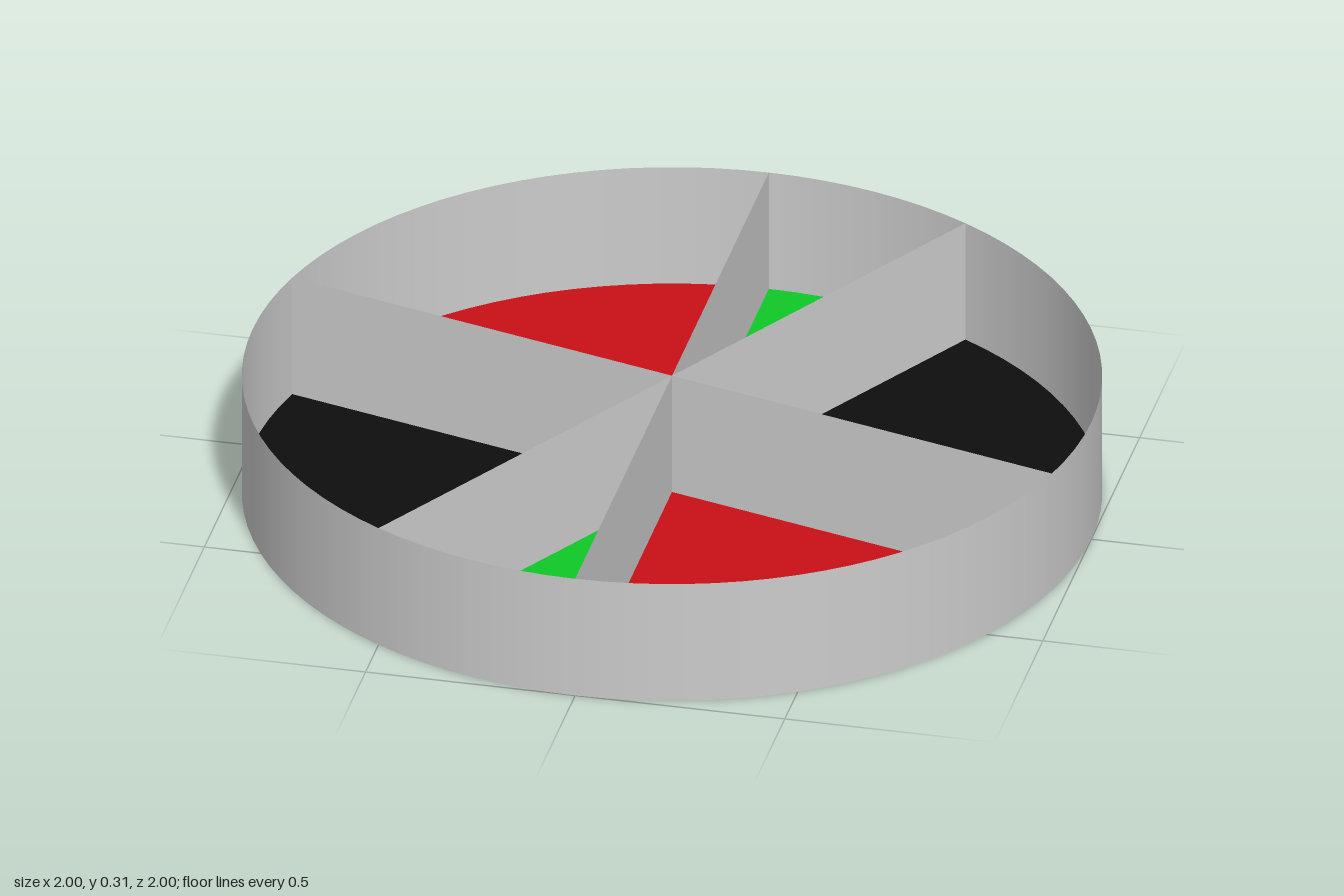
import * as THREE from 'three';

const RADIUS = 1, HEIGHT = 0.31, SEGMENTS = 96;
const rad = THREE.MathUtils.degToRad;

function material(color, side = THREE.FrontSide) {
  return new THREE.MeshStandardMaterial({ color, side });
}

export function createModel() {
  const group = new THREE.Group();
  const add = (name, geometry, mat) => {
    const mesh = new THREE.Mesh(geometry, mat);
    mesh.name = name;
    group.add(mesh);
    return mesh;
  };
  const grey = material(0xcccccc);
  const thinGrey = material(0xcccccc, THREE.DoubleSide);

  // Thin round outer wall, open at the top
  add('outerWall', new THREE.CylinderGeometry(RADIUS, RADIUS, HEIGHT, SEGMENTS, 1, true), thinGrey)
    .position.y = HEIGHT / 2;

  // Grey underside
  add('underside', new THREE.CircleGeometry(RADIUS, SEGMENTS).rotateX(Math.PI / 2), grey);

  // Coloured floor sectors, each repeated on the opposite side
  const sectors = [
    { name: 'greenFloor', color: 0x10c828, start: 60, sweep: 30 },
    { name: 'blackFloor', color: 0x0e0e0e, start: -15, sweep: 75 },
    { name: 'redFloor', color: 0xc81016, start: -90, sweep: 75 },
  ];
  for (const { name, color, start, sweep } of sectors) {
    const mat = material(color);
    for (const turn of [0, 180]) {
      const geometry = new THREE.CircleGeometry(
        RADIUS, Math.round(SEGMENTS * sweep / 360), rad(start + turn), rad(sweep));
      add(name, geometry.rotateX(-Math.PI / 2), mat).position.y = 0.001;
    }
  }

  // Thin upright dividers across the full diameter, on the sector borders
  for (const angle of [90, 60, -15]) {
    const divider = add('divider', new THREE.PlaneGeometry(2 * RADIUS, HEIGHT), thinGrey);
    divider.position.y = HEIGHT / 2;
    divider.rotation.y = rad(angle);
  }

  return group;
}
